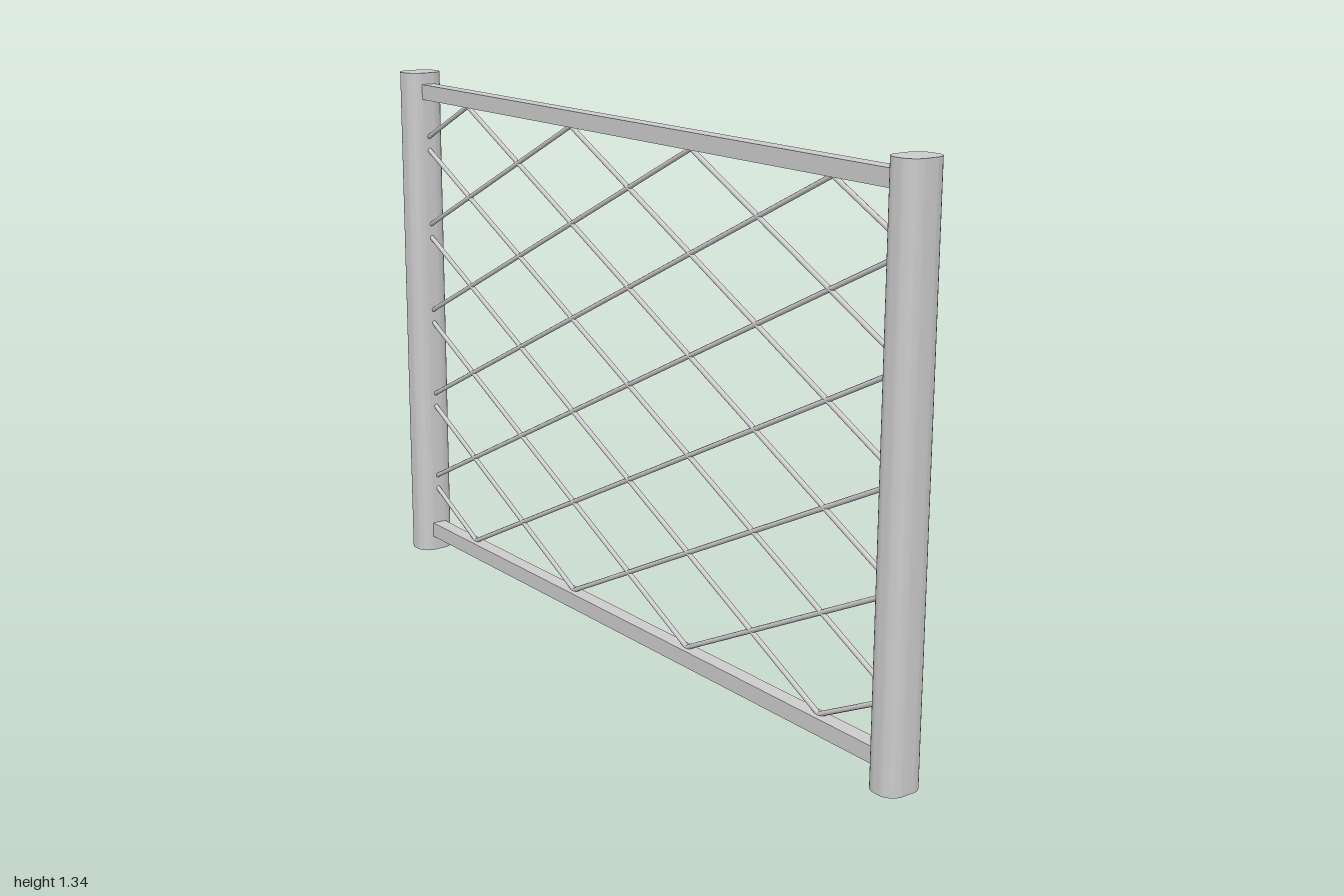
import * as THREE from 'three';
import { toCreasedNormals } from 'three/addons/utils/BufferGeometryUtils.js';

const HEIGHT = 1.34;
const POST_X = 0.957;
const material = new THREE.MeshStandardMaterial({ color: 0xcccccc });

function addMesh(parent, name, geometry, x = 0, y = 0, z = 0) {
  const mesh = new THREE.Mesh(geometry, material);
  mesh.name = name;
  mesh.position.set(x, y, z);
  parent.add(mesh);
  return mesh;
}

// Upright with a rounded rectangular section
function postGeometry(w, d, r) {
  const s = new THREE.Shape();
  const x = w / 2 - r, y = d / 2 - r;
  s.absarc(x, y, r, 0, Math.PI / 2);
  s.absarc(-x, y, r, Math.PI / 2, Math.PI);
  s.absarc(-x, -y, r, Math.PI, Math.PI * 1.5);
  s.absarc(x, -y, r, Math.PI * 1.5, Math.PI * 2);
  const g = new THREE.ExtrudeGeometry(s, { depth: HEIGHT, bevelEnabled: false, curveSegments: 4 });
  g.rotateX(-Math.PI / 2);
  return toCreasedNormals(g, 0.6);
}

// Thin round wire between two points of the z = 0 plane
function addWire(parent, x1, y1, x2, y2) {
  const a = new THREE.Vector3(x1, y1, 0), b = new THREE.Vector3(x2, y2, 0);
  const dir = b.clone().sub(a);
  const wire = addMesh(parent, 'wire', new THREE.CylinderGeometry(0.006, 0.006, dir.length(), 8));
  wire.position.copy(a).add(b).multiplyScalar(0.5);
  wire.quaternion.setFromUnitVectors(new THREE.Vector3(0, 1, 0), dir.normalize());
}

export function createModel() {
  const model = new THREE.Group();
  model.name = 'fencePanel';

  // Posts
  const post = postGeometry(0.086, 0.102, 0.036);
  addMesh(model, 'leftPost', post, POST_X);
  addMesh(model, 'rightPost', post, -POST_X);

  // Rails
  const rail = new THREE.BoxGeometry(1.85, 0.04, 0.038);
  addMesh(model, 'topRail', rail, 0, 1.29);
  addMesh(model, 'bottomRail', rail, 0, 0.06);

  // Diamond mesh: parallel wires of slope 1/2, clipped to the frame and mirrored
  const mesh = new THREE.Group();
  mesh.name = 'diamondMesh';
  model.add(mesh);
  const bottom = 0.08, top = 1.27, edge = 0.92, step = 0.238;
  for (let k = -1; k <= 7; k++) {
    const c = bottom + step * (k - 0.5);
    const x1 = Math.max(-edge, (bottom - c) * 2);
    const x2 = Math.min(edge, (top - c) * 2);
    for (const side of [1, -1]) addWire(mesh, side * x1, c + x1 / 2, side * x2, c + x2 / 2);
  }
  return model;
}
